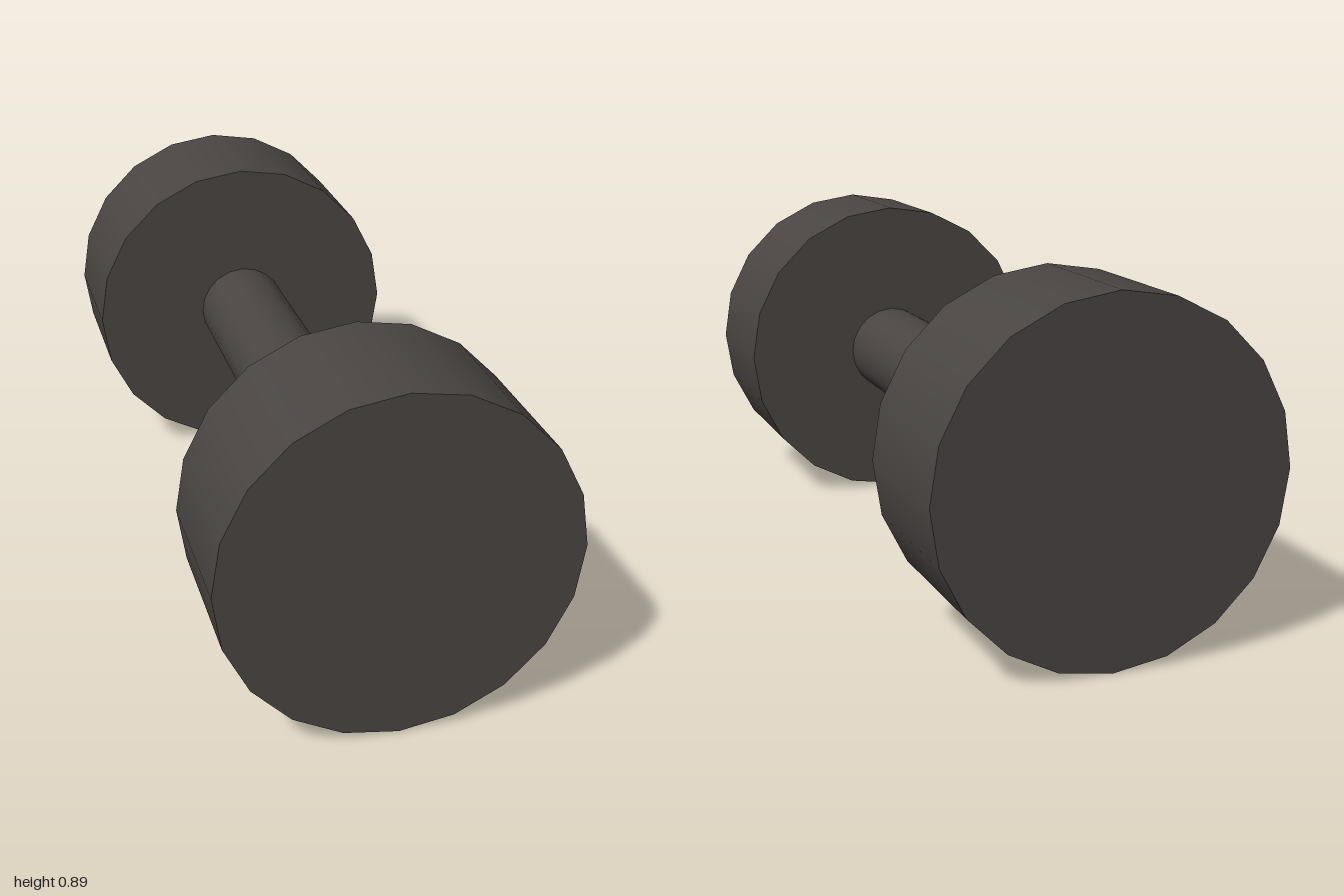
import * as THREE from 'three';

const RADIUS = 0.445;
const SIDES = 20;

export function createModel() {
  const group = new THREE.Group();
  group.name = 'dumbbell';
  const iron = new THREE.MeshStandardMaterial({ color: 0x4a4543 });
  iron.name = 'dark iron';

  // Cylinder lying along z at the height of the dumbbell's axis
  function addCylinder(name, radius, length, z, openEnded = false) {
    const geometry = new THREE.CylinderGeometry(radius, radius, length, SIDES, 1, openEnded);
    geometry.rotateX(Math.PI / 2);
    const mesh = new THREE.Mesh(geometry, iron);
    mesh.name = name;
    mesh.position.set(0, RADIUS, z);
    group.add(mesh);
  }

  // Weights at both ends
  addCylinder('frontWeight', RADIUS, 0.4, 0.8);
  addCylinder('backWeight', RADIUS, 0.4, -0.8);

  // Grip bar, its ends hidden by the weights
  addCylinder('handle', 0.128, 1.2, 0, true);

  return group;
}
